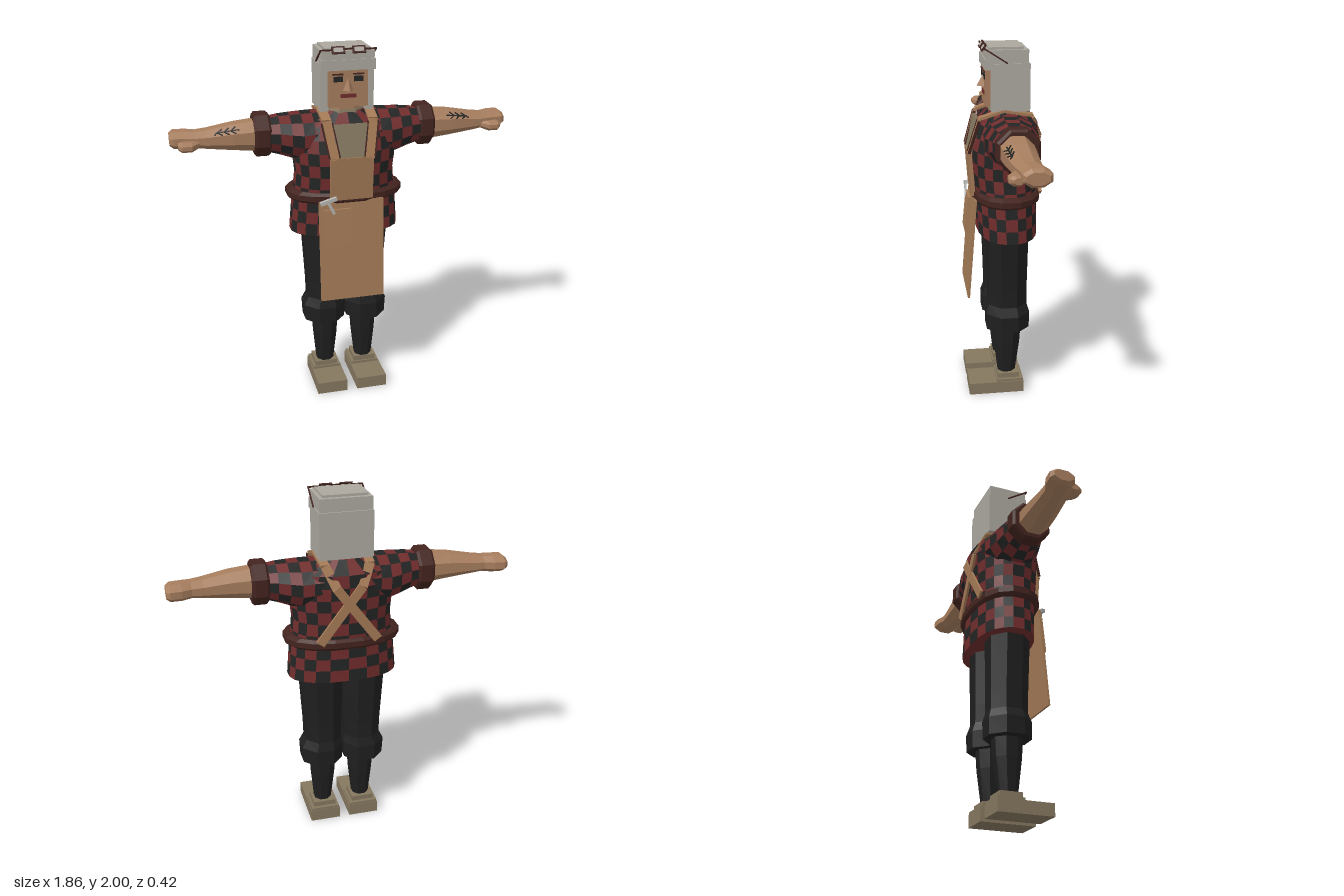
import * as THREE from 'three';
import { ConvexGeometry } from 'three/addons/geometries/ConvexGeometry.js';

const paint = (name, color) => {
  const m = new THREE.MeshStandardMaterial({ color });
  m.name = name;
  return m;
};

export function createModel() {
  const model = new THREE.Group();
  model.name = 'craftsman';
  const skin = paint('skin', 0xa67d5e), leather = paint('apronLeather', 0xa47a56);
  const red = paint('shirtRed', 0x702c2c), dark = paint('shirtBlack', 0x232424);
  const cloth = paint('trouserBlack', 0x1f1f20), brown = paint('darkLeather', 0x43241f);
  const grey = paint('hairGrey', 0xaba79f), khaki = paint('khaki', 0x84775f);
  const steel = paint('steel', 0xb4b4b0);

  const add = (name, geometry, material) => {
    const mesh = new THREE.Mesh(geometry, material);
    mesh.name = name;
    model.add(mesh);
    return mesh;
  };
  // Box given by its limits on each axis
  const box = (name, mat, x0, x1, y0, y1, z0, z1) =>
    add(name, new THREE.BoxGeometry(x1 - x0, y1 - y0, z1 - z0), mat)
      .position.set((x0 + x1) / 2, (y0 + y1) / 2, (z0 + z1) / 2);

  // Flat bar from a to b, its broad side facing n
  const bar = (name, mat, a, b, width, thick, n = [0, 0, 1]) => {
    const A = new THREE.Vector3(...a), B = new THREE.Vector3(...b);
    const Y = B.clone().sub(A), len = Y.length();
    Y.normalize();
    const X = Y.clone().cross(new THREE.Vector3(...n)).normalize();
    const Z = X.clone().cross(Y);
    const mesh = add(name, new THREE.BoxGeometry(width, len, thick), mat);
    mesh.quaternion.setFromRotationMatrix(new THREE.Matrix4().makeBasis(X, Y, Z));
    mesh.position.copy(A.add(B).multiplyScalar(0.5));
  };

  // Rings are [t, centreA, centreB, radiusA, radiusB]; A,B = x,z along y, or z,y along x
  const ringPoint = ([t, ca, cb, ra, rb], i, sides, axis, e = 1) => {
    const a = (i + 0.5) / sides * Math.PI * 2, k = 1 / Math.cos(Math.PI / sides);
    const pow = (v) => Math.sign(v) * Math.abs(v) ** e;
    const A = ca + ra * k * pow(Math.cos(a)), B = cb + rb * k * pow(Math.sin(a));
    return axis === 'y' ? [A, t, B] : [t, B, A];
  };
  // Flat-faced loft; checked lofts alternate two materials
  const loft = (name, mat, rings, { sides = 8, axis = 'y', e = 1 } = {}) => {
    const checked = Array.isArray(mat), parts = [[], []];
    const p = (i, j) => ringPoint(rings[j], i, sides, axis, e);
    const last = rings.length - 1;
    for (let i = 0; i < sides; i++) {
      for (let j = 0; j < last; j++)
        parts[checked ? (i + j) % 2 : 0].push(
          ...p(i, j), ...p(i, j + 1), ...p(i + 1, j + 1),
          ...p(i, j), ...p(i + 1, j + 1), ...p(i + 1, j));
      const mid = (j) => {
        const [t, a, b] = rings[j];
        return axis === 'y' ? [a, t, b] : [t, b, a];
      };
      parts[0].push(...mid(0), ...p(i, 0), ...p(i + 1, 0),
        ...mid(last), ...p(i + 1, last), ...p(i, last));
    }
    const g = new THREE.BufferGeometry();
    g.setAttribute('position', new THREE.Float32BufferAttribute([...parts[0], ...parts[1]], 3));
    if (checked) {
      g.addGroup(0, parts[0].length / 3, 0);
      g.addGroup(parts[0].length / 3, parts[1].length / 3, 1);
    }
    g.computeVertexNormals();
    return add(name, g, mat);
  };
  // Ring at position t between listed rings
  const ringAt = (rings, t) => {
    let j = 0;
    while (j < rings.length - 2 && rings[j + 1][0] < t) j++;
    const k = (t - rings[j][0]) / (rings[j + 1][0] - rings[j][0]);
    return rings[j].map((v, n) => v + (rings[j + 1][n] - v) * k);
  };
  const resample = (rings, n) => Array.from({ length: n + 1 }, (_, i) =>
    ringAt(rings, rings[0][0] + (rings[rings.length - 1][0] - rings[0][0]) * i / n));
  const mirrored = (rings, s) => s > 0 ? rings : rings.map(([t, ...r]) => [-t, ...r]).reverse();

  // Shirt body, belt, collar and neck
  loft('shirtBody', [red, dark], resample([
    [0.97, 0, -0.028, 0.305, 0.165], [1.17, 0, -0.022, 0.288, 0.168],
    [1.3, 0, -0.015, 0.27, 0.175], [1.42, 0, -0.012, 0.283, 0.182],
    [1.5, 0, -0.022, 0.285, 0.178], [1.58, 0, -0.035, 0.26, 0.16],
    [1.63, 0, -0.035, 0.2, 0.13], [1.65, 0, -0.035, 0.12, 0.1]], 10), { sides: 22, e: 0.85 });
  loft('belt', brown, [
    [1.165, 0, -0.02, 0.3, 0.178], [1.18, 0, -0.02, 0.32, 0.187],
    [1.21, 0, -0.02, 0.32, 0.187], [1.225, 0, -0.02, 0.29, 0.175]], { sides: 16, e: 0.85 });
  loft('collar', khaki, [[1.58, 0, -0.03, 0.13, 0.115], [1.66, 0, -0.03, 0.108, 0.095]]);
  loft('neck', skin, [[1.58, 0, -0.025, 0.1, 0.085], [1.72, 0, -0.02, 0.09, 0.08]]);

  // Apron
  bar('undershirt', khaki, [0, 1.42, 0.175], [0, 1.6, 0.132], 0.18, 0.02);
  bar('apronBib', leather, [0, 1.19, 0.16], [0, 1.43, 0.178], 0.235, 0.02);
  bar('apronSkirt', leather, [0, 1.18, 0.155], [0, 0.61, 0.2], 0.36, 0.012);
  bar('apronPocket', leather, [-0.08, 1.14, 0.168], [-0.08, 0.935, 0.188], 0.15, 0.028);
  bar('hammerHead', steel, [-0.175, 1.18, 0.18], [-0.085, 1.207, 0.18], 0.02, 0.022);
  bar('hammerHandle', steel, [-0.137, 1.195, 0.185], [-0.1, 1.12, 0.185], 0.016, 0.012);

  const forearm = [
    [0.47, -0.02, 1.535, 0.085, 0.083], [0.6, -0.02, 1.535, 0.08, 0.07],
    [0.74, -0.025, 1.53, 0.07, 0.05], [0.8, -0.03, 1.53, 0.065, 0.043],
    [0.85, -0.045, 1.53, 0.07, 0.046], [0.91, -0.05, 1.53, 0.07, 0.045],
    [0.93, -0.05, 1.53, 0.055, 0.03]];
  // Point on the upper front facet of the forearm
  const onArm = (s, x, k) => {
    const r = ringAt(forearm, x);
    const a = ringPoint(r, 0, 8, 'x'), b = ringPoint(r, 1, 8, 'x');
    return [s * x, a[1] + (b[1] - a[1]) * k, a[2] + (b[2] - a[2]) * k];
  };

  for (const s of [1, -1]) {
    const side = s > 0 ? 'left' : 'right';
    const span = (name, mat, x0, x1, ...rest) =>
      box(side + name, mat, Math.min(s * x0, s * x1), Math.max(s * x0, s * x1), ...rest);
    const arm = (name, mat, rings, sides = 8) =>
      loft(side + name, mat, mirrored(rings, s), { axis: 'x', sides });
    const leg = (name, rings) =>
      loft(side + name, cloth, rings.map(([t, x, ...r]) => [t, s * x, ...r]));

    // Arm
    arm('Sleeve', [red, dark], resample([
      [0.12, -0.035, 1.52, 0.15, 0.118], [0.25, -0.03, 1.508, 0.142, 0.127],
      [0.35, -0.027, 1.525, 0.115, 0.107], [0.42, -0.025, 1.53, 0.098, 0.092]], 5), 12);
    arm('Cuff', brown, [
      [0.405, -0.03, 1.533, 0.098, 0.1], [0.418, -0.03, 1.533, 0.11, 0.112],
      [0.482, -0.03, 1.533, 0.11, 0.112], [0.495, -0.03, 1.533, 0.098, 0.1]]);
    arm('ForearmAndHand', skin, forearm);
    arm('Thumb', skin, [
      [0.78, 0.015, 1.515, 0.025, 0.02], [0.82, 0.035, 1.508, 0.038, 0.026],
      [0.87, 0.037, 1.508, 0.038, 0.026], [0.89, 0.03, 1.51, 0.022, 0.016]]);

    // Arrow markings on the forearm
    const mark = (x0, k0, x1, k1) => bar(side + 'ArmMarking', dark,
      onArm(s, x0, k0), onArm(s, x1, k1), 0.007, 0.006, [0, 0.75, 0.66]);
    mark(0.57, 0.4, 0.69, 0.4);
    for (const x of [0.59, 0.625, 0.66]) {
      mark(x, 0.05, x + 0.025, 0.4);
      mark(x, 0.75, x + 0.025, 0.4);
    }
    mark(0.69, 0.4, 0.7, 0.15);

    // Apron straps, crossing at the back
    const strap = [[0.095, 1.42, 0.182], [0.125, 1.62, 0.125], [0.13, 1.66, 0.0],
      [0.12, 1.63, -0.155], [0.07, 1.52, -0.203], [-0.16, 1.21, -0.196]];
    const facing = [[0, 0.3, 1], [0, 1, 0.3], [0, 1, -0.2], [0, 0.4, -1], [0, 0, -1]];
    facing.forEach((n, i) => bar(side + 'ApronStrap', leather,
      [s * strap[i][0], strap[i][1], strap[i][2]],
      [s * strap[i + 1][0], strap[i + 1][1], strap[i + 1][2]], 0.05, 0.014, n));
    for (const d of [-0.028, 0.028])
      bar(side + 'StrapEdge', brown, [s * (0.095 + d), 1.43, 0.183],
        [s * (0.125 + d), 1.61, 0.13], 0.007, 0.016, [0, 0.3, 1]);

    // Leg and shoe
    leg('Breeches', [
      [0.405, 0.122, -0.022, 0.115, 0.12], [0.5, 0.122, -0.022, 0.12, 0.122],
      [0.55, 0.115, -0.022, 0.102, 0.107], [0.65, 0.115, -0.022, 0.105, 0.107],
      [1.0, 0.122, -0.02, 0.12, 0.115]]);
    leg('LowerLeg', [
      [0.1, 0.117, -0.018, 0.047, 0.048], [0.3, 0.115, -0.02, 0.066, 0.072],
      [0.42, 0.115, -0.02, 0.071, 0.08]]);
    span('Shoe', khaki, 0.03, 0.205, 0, 0.07, -0.11, 0.205);
    span('ShoeUpper', khaki, 0.035, 0.2, 0.07, 0.085, -0.108, 0.045);
    span('ShoeCollar', khaki, 0.052, 0.183, 0.085, 0.115, -0.088, 0.037);

    // Face and side hair
    span('Eye', dark, 0.03, 0.08, 1.815, 1.843, 0.088, 0.094);
    span('Brow', brown, 0.026, 0.085, 1.85, 1.858, 0.088, 0.095);
    span('SideHair', grey, 0.1, 0.145, 1.655, 1.905, -0.14, 0.065);

    // Spectacles pushed up on the head
    const tilt = [0, 0.58, 0.81];
    bar(side + 'SpectacleFrame', brown, [s * 0.055, 1.964, 0.107], [s * 0.055, 1.997, 0.084], 0.07, 0.008, tilt);
    bar(side + 'SpectacleLens', grey, [s * 0.055, 1.971, 0.102], [s * 0.055, 1.99, 0.089], 0.05, 0.011, tilt);
    bar(side + 'SpectacleHinge', brown, [s * 0.085, 1.982, 0.096], [s * 0.15, 1.982, 0.096], 0.008, 0.008);
    bar(side + 'SpectacleTemple', brown, [s * 0.147, 1.984, 0.098], [s * 0.147, 1.908, -0.02], 0.007, 0.007, [1, 0, 0]);
  }
  bar('spectacleBridge', brown, [-0.022, 1.985, 0.094], [0.022, 1.985, 0.094], 0.008, 0.008);

  // Head
  box('head', skin, -0.106, 0.106, 1.68, 1.92, -0.1, 0.09);
  box('mouth', red, -0.042, 0.042, 1.73, 1.75, 0.088, 0.094);
  add('nose', new ConvexGeometry([
    [0, 1.835, 0.09], [0.03, 1.768, 0.088], [-0.03, 1.768, 0.088],
    [0, 1.77, 0.128], [0, 1.8, 0.08]].map((p) => new THREE.Vector3(...p))), skin);

  // Hair
  box('backHair', grey, -0.145, 0.145, 1.655, 1.905, -0.14, -0.095);
  box('fringe', grey, -0.145, 0.145, 1.875, 1.93, 0.05, 0.097);
  box('crownHair', grey, -0.14, 0.14, 1.9, 1.975, -0.132, 0.092);
  box('topHair', grey, -0.12, 0.12, 1.975, 1.988, -0.108, 0.075);
  return model;
}
